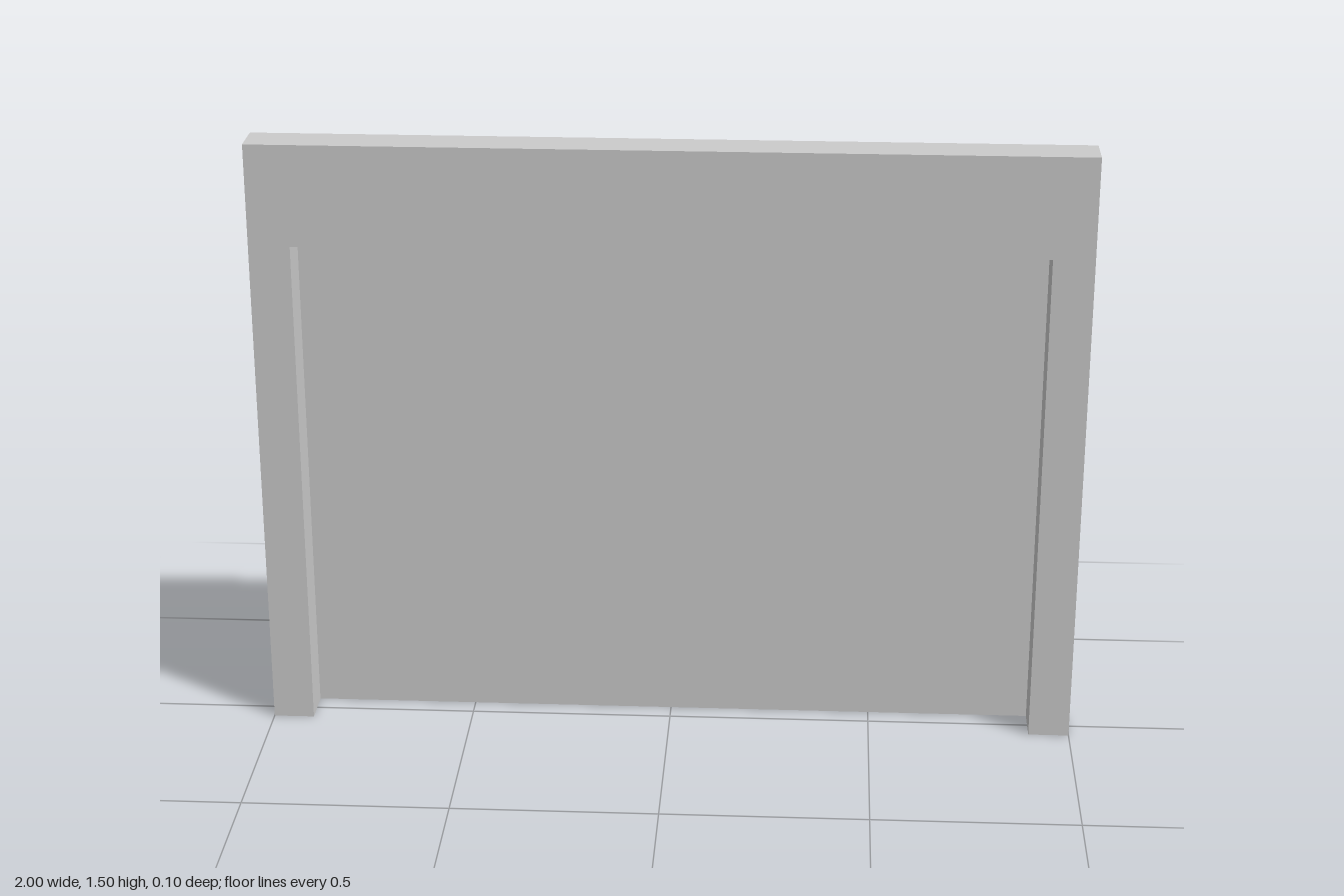
import * as THREE from 'three';

const W = 2, H = 1.5, DEPTH = 0.1;       // outer frame
const OPEN_W = 1.8, OPEN_H = 1.25;       // recessed opening

export function createModel() {
  const group = new THREE.Group();
  const material = new THREE.MeshStandardMaterial({ color: 0xcccccc, side: THREE.DoubleSide });

  const add = (name, geometry, x, y, z) => {
    const mesh = new THREE.Mesh(geometry, material);
    mesh.name = name;
    mesh.position.set(x, y, z);
    group.add(mesh);
  };

  // Two thin side walls and a thin top running through the depth, open at the bottom
  const addSurround = (name, w, h) => {
    for (const side of [1, -1]) {
      const wall = new THREE.PlaneGeometry(DEPTH, h).rotateY(side * Math.PI / 2);
      add(name + (side > 0 ? 'Left' : 'Right'), wall, side * w / 2, h / 2, 0);
    }
    add(name + 'Top', new THREE.PlaneGeometry(w, DEPTH).rotateX(-Math.PI / 2), 0, h, 0);
  };

  // Front face of the frame: an upside-down U
  const a = W / 2, b = OPEN_W / 2;
  const outline = [[-a, 0], [-b, 0], [-b, OPEN_H], [b, OPEN_H], [b, 0], [a, 0], [a, H], [-a, H]];
  const shape = new THREE.Shape(outline.map(([x, y]) => new THREE.Vector2(x, y)));
  add('frameFront', new THREE.ShapeGeometry(shape), 0, 0, DEPTH / 2);

  // Outer returns and the jambs lining the opening
  addSurround('outerReturn', W, H);
  addSurround('jamb', OPEN_W, OPEN_H);

  // Door panel set back at the rear of the opening
  add('doorPanel', new THREE.PlaneGeometry(OPEN_W, OPEN_H), 0, OPEN_H / 2, -DEPTH / 2);

  return group;
}
